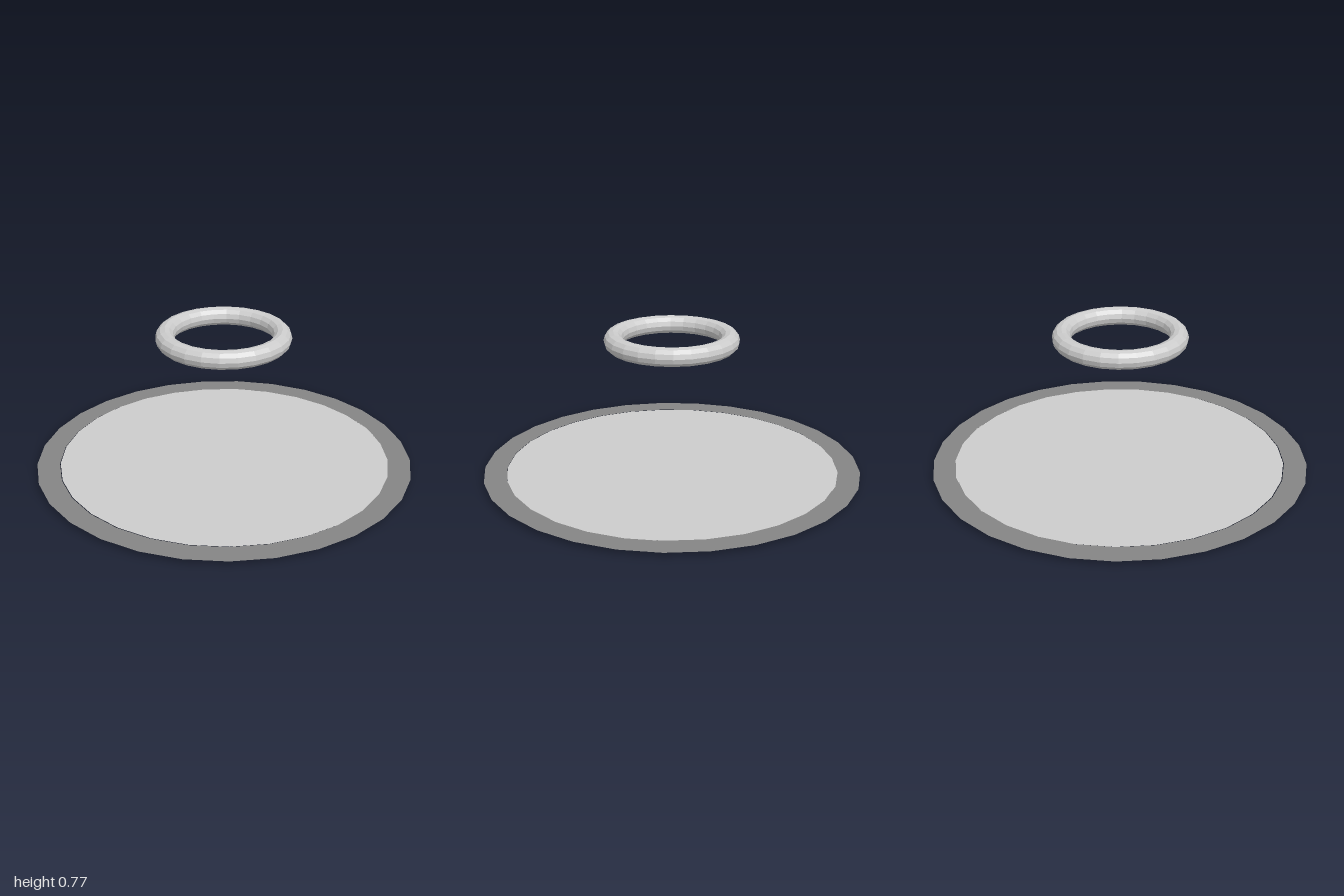
import * as THREE from 'three';

const SIDES = 29;

export function createModel() {
  const light = new THREE.MeshStandardMaterial({ color: 0xcccccc, side: THREE.DoubleSide, flatShading: true });
  light.name = 'lightGrey';
  const dark = new THREE.MeshStandardMaterial({ color: 0x858585, side: THREE.DoubleSide, flatShading: true });
  dark.name = 'darkGrey';

  const model = new THREE.Group();
  const add = (name, geometry, material, x = 0, y = 0, z = 0) => {
    const mesh = new THREE.Mesh(geometry, material);
    mesh.name = name;
    mesh.position.set(x, y, z);
    model.add(mesh);
  };
  // surface of revolution from [radius, height] pairs
  const lathe = (points, sides = SIDES) =>
    new THREE.LatheGeometry(points.map(([r, y]) => new THREE.Vector2(r, y)), sides);

  // paper-thin base: light disc with a dark border
  add('baseDisc', lathe([[0, 0.02], [0.88, 0.02]]), light, 0, 0, -0.007);
  add('baseBorder', lathe([[0.88, 0.02], [1, 0.02]]), dark, 0, 0, -0.003);

  // shallow flared foot below the disc, open at the bottom
  add('footRim', lathe([[0.81, 0], [0.795, 0.017]]), dark, 0.012, 0, -0.015);
  add('footPanel', lathe([[0.795, 0.017], [0, 0.017]]), dark, 0.012, 0, -0.015);

  // floating ring
  const ring = new THREE.TorusGeometry(0.303, 0.049, 12, 24);
  ring.rotateX(-Math.PI / 2);
  add('floatingRing', ring, light, 0, 0.724, 0);

  return model;
}
